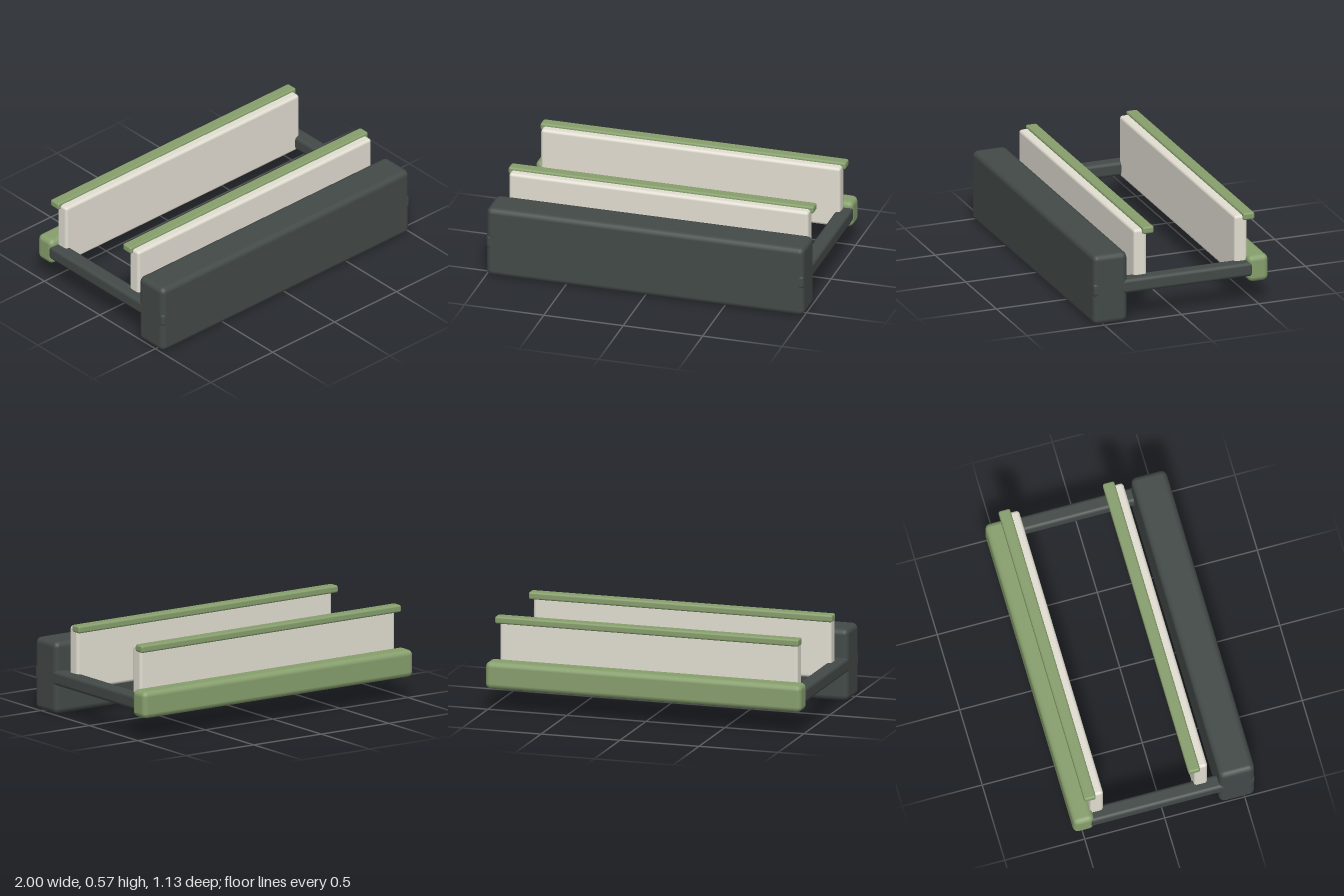
import * as THREE from 'three';
import { RoundedBoxGeometry } from 'three/addons/geometries/RoundedBoxGeometry.js';

const dark = new THREE.MeshStandardMaterial({ color: 0x434a48 });
const green = new THREE.MeshStandardMaterial({ color: 0x879f6d });
const cream = new THREE.MeshStandardMaterial({ color: 0xe2ded2 });

// Box with softened edges, given by its min/max extents
function block(name, [x0, x1], [y0, y1], [z0, z1], bevel, material) {
  const geometry = new RoundedBoxGeometry(x1 - x0, y1 - y0, z1 - z0, 2, bevel);
  const mesh = new THREE.Mesh(geometry, material);
  mesh.position.set((x0 + x1) / 2, (y0 + y1) / 2, (z0 + z1) / 2);
  mesh.name = name;
  return mesh;
}

export function createModel() {
  const model = new THREE.Group();
  model.name = 'rackFrame';

  // Tall front panel and low back bar
  model.add(block('frontPanel', [-1, 1], [0, 0.446], [0.346, 0.567], 0.035, dark));
  model.add(block('backBar', [-1, 1], [0.14, 0.307], [-0.567, -0.437], 0.033, green));

  // Side rails joining front to back
  model.add(block('leftRail', [0.906, 1], [0.18, 0.27], [-0.467, 0.567], 0.022, dark));
  model.add(block('rightRail', [-1, -0.906], [0.18, 0.27], [-0.467, 0.567], 0.022, dark));

  // Upright boards, each with a lip along its top rear edge
  for (const [name, z] of [['front', 0.243], ['back', -0.408]]) {
    const group = new THREE.Group();
    group.name = name + 'Divider';
    group.add(block(name + 'Board', [-0.943, 0.943], [0.17, 0.559], [-0.042, 0.042], 0.019, cream));
    group.add(block(name + 'Lip', [-0.961, 0.961], [0.53, 0.575], [-0.082, -0.009], 0.012, green));
    group.position.z = z;
    model.add(group);
  }
  return model;
}
